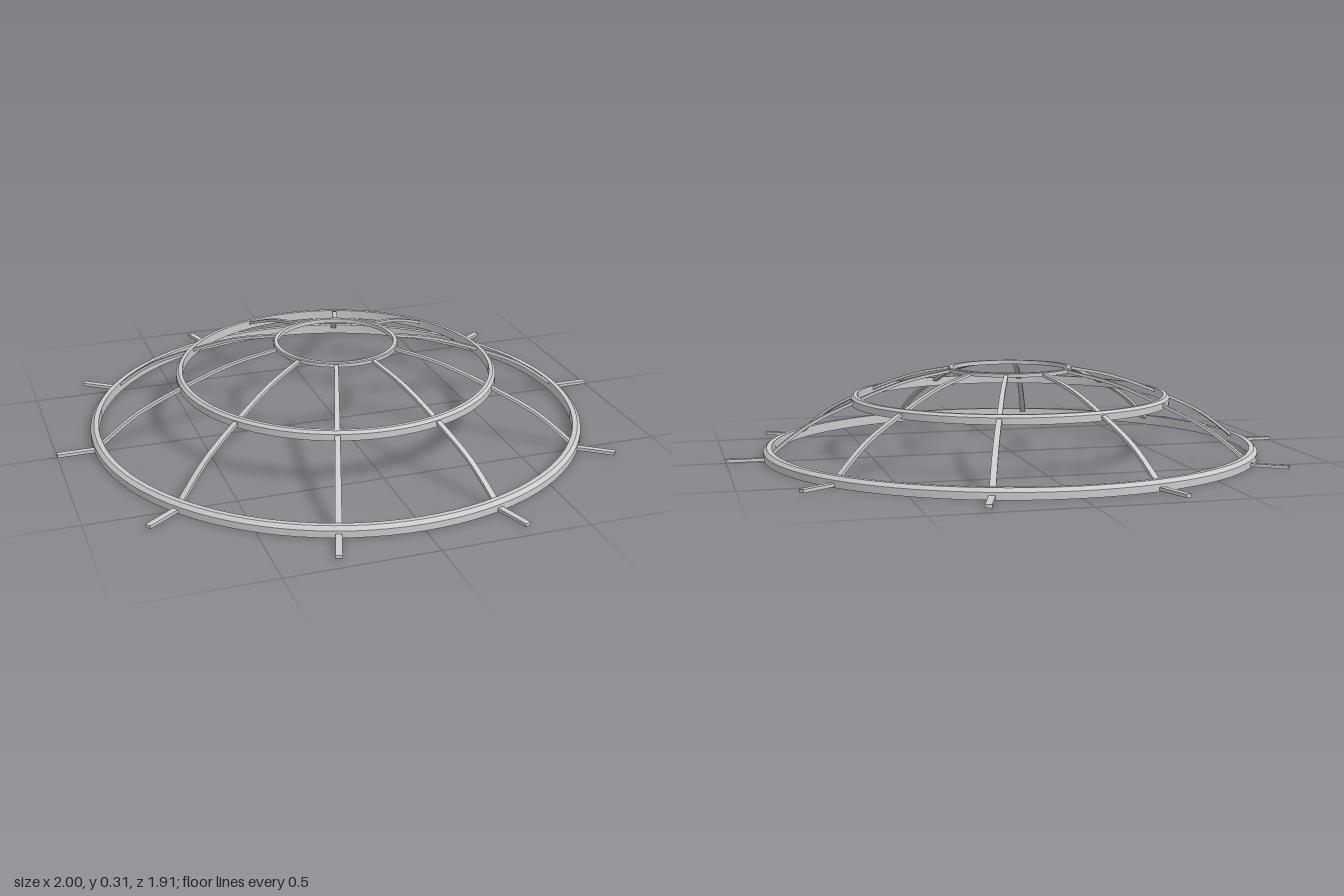
import * as THREE from 'three';

const material = new THREE.MeshStandardMaterial({ color: 0xcccccc });
const RIBS = 10;

// Hoop with a chamfered upper outer edge; hard edges between bands, smooth around
function hoop(name, inner, outer, y0, y1, chamfer) {
  const group = new THREE.Group();
  group.name = name;
  const profile = [
    [inner, y0], [outer, y0], [outer, y1 - chamfer],
    [outer - chamfer, y1], [inner, y1], [inner, y0],
  ].map(([r, y]) => new THREE.Vector2(r, y));
  for (let i = 0; i < profile.length - 1; i++) {
    const band = new THREE.Mesh(new THREE.LatheGeometry([profile[i], profile[i + 1]], 96), material);
    band.name = name + 'Band';
    group.add(band);
  }
  return group;
}

// Flat curved bar: offset a spine curve to both sides, extrude, taper toward the crown
function ribGeometry() {
  const spine = new THREE.SplineCurve([
    [0.21, 0.297], [0.38, 0.262], [0.555, 0.197], [0.72, 0.12], [0.852, 0.022],
  ].map(([r, y]) => new THREE.Vector2(r, y)));
  const half = 0.005, upper = [], lower = [];
  for (let i = 0; i <= 24; i++) {
    const p = spine.getPoint(i / 24), t = spine.getTangent(i / 24);
    const n = new THREE.Vector2(-t.y, t.x).multiplyScalar(half);
    upper.push(p.clone().add(n));
    lower.unshift(p.clone().sub(n));
  }
  const geometry = new THREE.ExtrudeGeometry(new THREE.Shape([...upper, ...lower]), {
    depth: 1, bevelEnabled: false,
  });
  const pos = geometry.attributes.position;
  for (let i = 0; i < pos.count; i++) {
    const width = THREE.MathUtils.mapLinear(pos.getX(i), 0.21, 0.85, 0.014, 0.021);
    pos.setZ(i, (pos.getZ(i) - 0.5) * width);
  }
  geometry.computeVertexNormals();
  return geometry;
}

export function createModel() {
  const model = new THREE.Group();
  model.name = 'domeFrame';

  // Three horizontal hoops
  model.add(
    hoop('baseHoop', 0.843, 0.872, 0, 0.036, 0.012),
    hoop('middleHoop', 0.542, 0.564, 0.18, 0.212, 0.009),
    hoop('crownHoop', 0.203, 0.219, 0.291, 0.306, 0.003),
  );

  // Radial ribs, each with a flat foot reaching past the base hoop
  const ribShape = ribGeometry();
  const footShape = new THREE.BoxGeometry(0.15, 0.011, 0.021).translate(0.925, 0.0085, 0);
  for (let i = 0; i < RIBS; i++) {
    const arm = new THREE.Group();
    arm.name = 'arm';
    const rib = new THREE.Mesh(ribShape, material);
    rib.name = 'rib';
    const foot = new THREE.Mesh(footShape, material);
    foot.name = 'foot';
    arm.add(rib, foot);
    arm.rotation.y = (i / RIBS) * Math.PI * 2;
    model.add(arm);
  }
  return model;
}
